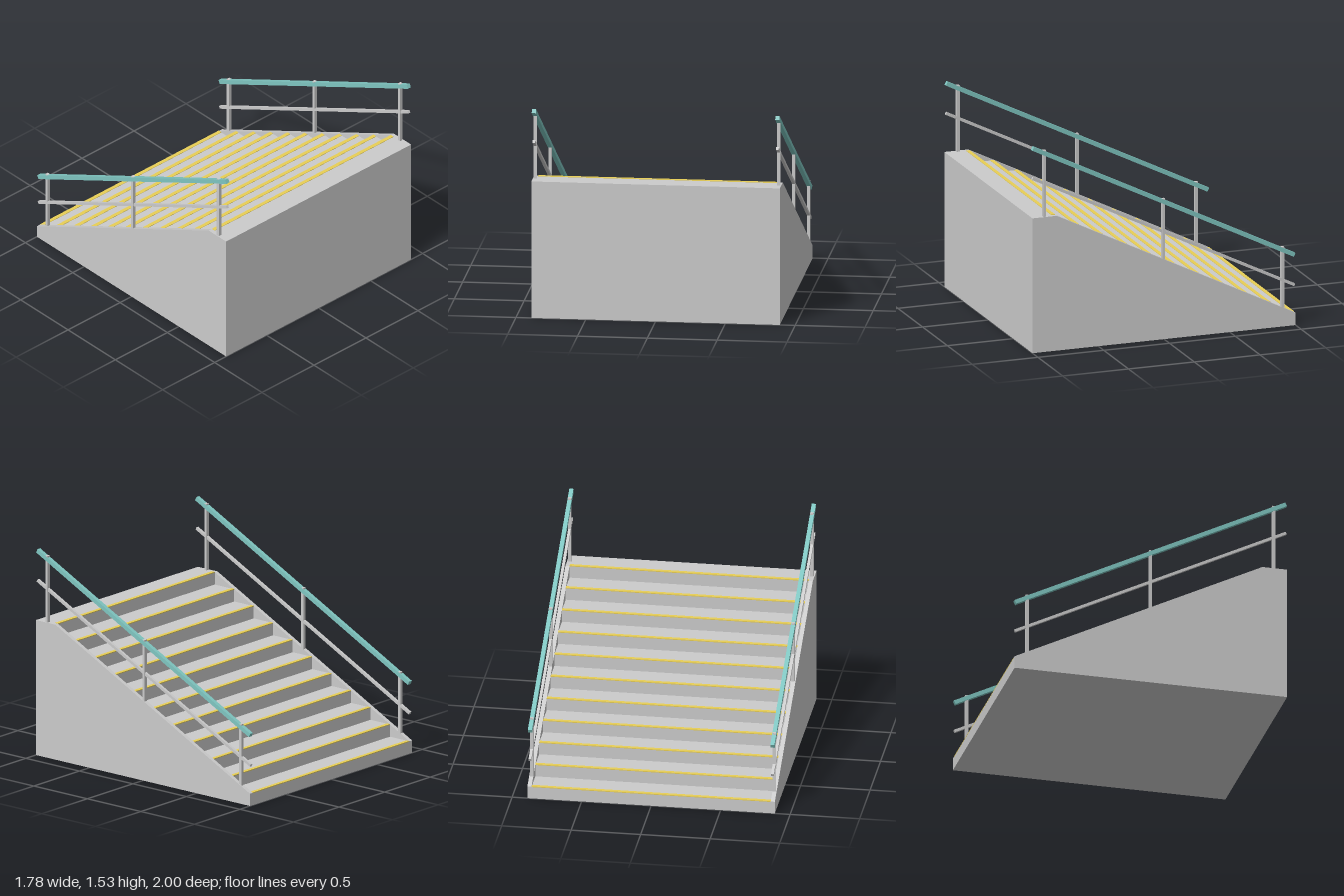
import * as THREE from 'three';

const STEPS = 11, RISE = 1 / STEPS, RUN = 2 / STEPS;
const HALF = 0.89, WALL = 0.03, INNER = HALF - WALL;
const SLOPE = Math.atan2(RISE, RUN);

const paint = (color) => new THREE.MeshStandardMaterial({ color, flatShading: true });

// Extrude a (z, y) outline along x, centred on x = 0
function extrudeAcross(points, width) {
  const shape = new THREE.Shape(points.map(([z, y]) => new THREE.Vector2(z, y)));
  const geo = new THREE.ExtrudeGeometry(shape, { depth: width, bevelEnabled: false });
  return geo.translate(0, 0, -width / 2).rotateY(-Math.PI / 2);
}

export function createModel() {
  const model = new THREE.Group();
  model.name = 'staircase';
  const concrete = paint(0xcccccc), teal = paint(0x7fc6c1), yellow = paint(0xe8cf56);

  function add(name, geo, material, x = 0, y = 0, z = 0, parent = model) {
    const mesh = new THREE.Mesh(geo, material);
    mesh.name = name;
    mesh.position.set(x, y, z);
    parent.add(mesh);
    return mesh;
  }

  // Solid flight of steps, climbing towards +z
  const outline = [[1, 0], [1, 1]];
  for (let i = STEPS - 1; i >= 0; i--) {
    const z = -1 + i * RUN;
    outline.push([z, (i + 1) * RISE], [z, i * RISE]);
  }
  add('steps', extrudeAcross(outline, INNER * 2), concrete);

  // Yellow nosing strip on each tread edge
  const strip = new THREE.BoxGeometry(INNER * 2, 0.006, 0.028);
  for (let i = 0; i < STEPS; i++) {
    add('nosingStrip', strip, yellow, 0, (i + 1) * RISE, -1 + i * RUN + 0.0135);
  }

  // Side walls and railings, mirrored
  const wall = extrudeAcross([[-1, 0], [1, 0], [1, 1], [1 - RUN, 1], [-1, RISE]], WALL);
  const handrail = new THREE.BoxGeometry(0.03, 0.03, 2.222);
  const midRail = new THREE.BoxGeometry(0.02, 0.02, 2.226);
  for (const side of [1, -1]) {
    const label = side > 0 ? 'left' : 'right';
    add(label + 'SideWall', wall, concrete, side * (HALF - WALL / 2));

    const railing = new THREE.Group();
    railing.name = label + 'Railing';
    model.add(railing);
    const x = side * 0.872;
    add('handrail', handrail, teal, x, 1.017, 0, railing).rotation.x = -SLOPE;
    add('midRail', midRail, concrete, x, 0.794, 0, railing).rotation.x = -SLOPE;

    // Posts stand on the wall and poke just through the handrail
    for (const z of [-0.905, 0, 0.905]) {
      const bottom = Math.min(1, 0.59 + z / 2) - 0.015, top = 1.04 + z / 2;
      add('post', new THREE.BoxGeometry(0.024, top - bottom, 0.022), concrete,
        x, (top + bottom) / 2, z, railing);
    }
  }
  return model;
}
